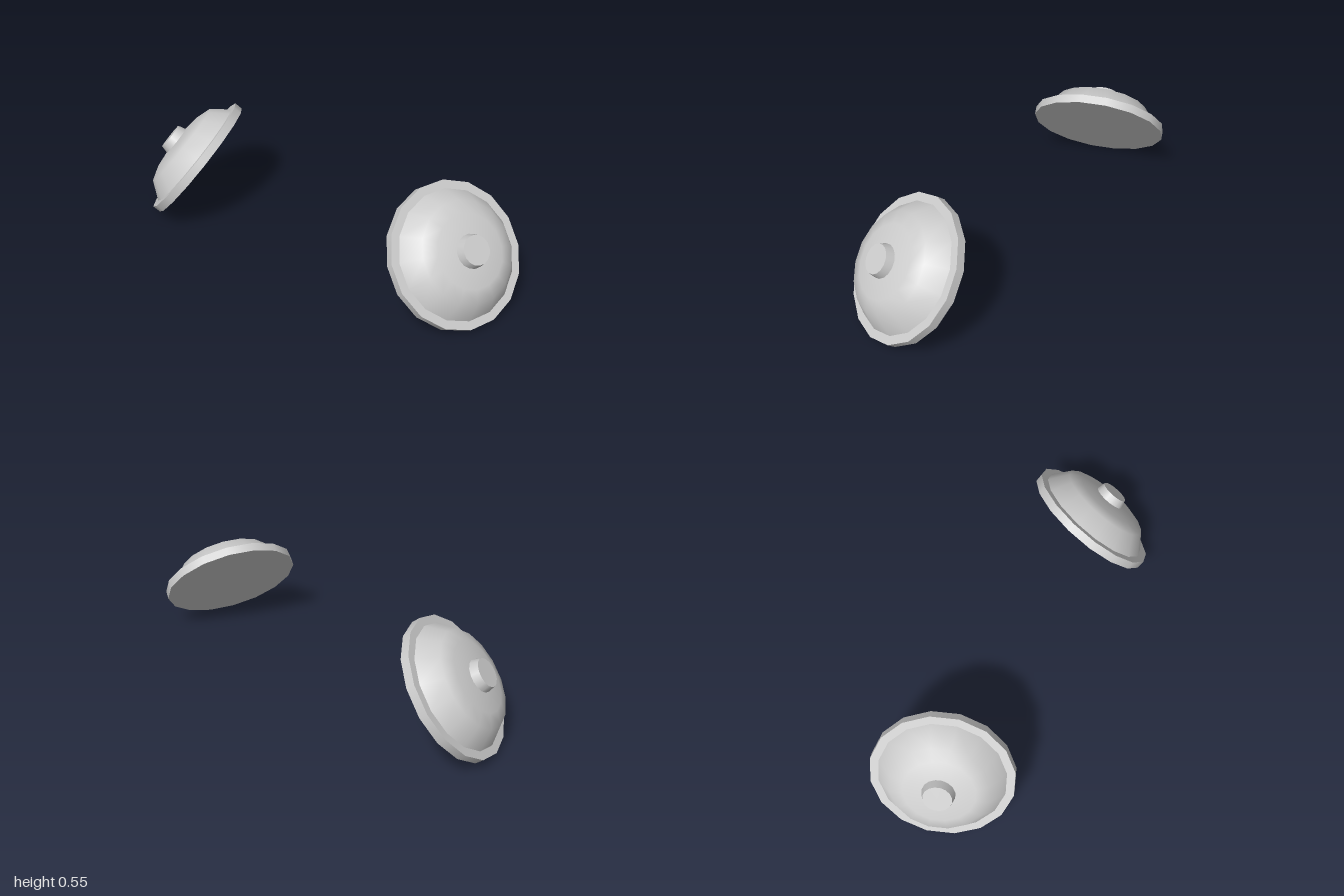
import * as THREE from 'three';

const SIDES = 16;
const RIM_RADIUS = 0.342;
const RIM_DEPTH = 0.042;

// One tilted disc: y is its axis, y = 0 is the outer face of the rim.
function createDisc(side) {
  const material = new THREE.MeshStandardMaterial({ color: 0xcccccc });
  const disc = new THREE.Group();
  const add = (name, geometry, y) => {
    const mesh = new THREE.Mesh(geometry.rotateY(Math.PI / SIDES), material);
    mesh.name = name;
    mesh.position.y = y;
    disc.add(mesh);
  };

  // Flat rim plate, closed at the back
  add('rim', new THREE.CylinderGeometry(RIM_RADIUS, RIM_RADIUS, RIM_DEPTH, SIDES), -RIM_DEPTH / 2);

  // Shallow smooth dome
  const profile = [[0.302, 0], [0.235, 0.086], [0.17, 0.107], [0.08, 0.118], [0, 0.121]]
    .map(([r, y]) => new THREE.Vector2(r, y));
  add('dome', new THREE.LatheGeometry(profile, SIDES), 0);

  // Slightly tapered centre knob
  add('knob', new THREE.CylinderGeometry(0.068, 0.081, 0.05, SIDES), 0.132);

  // Tilt outward, up and a little to the front
  const axis = new THREE.Vector3(side * 0.722, 0.623, 0.3).normalize();
  const upSlope = new THREE.Vector3(0, 1, 0).addScaledVector(axis, -axis.y).normalize();
  const across = new THREE.Vector3().crossVectors(axis, upSlope);
  disc.quaternion.setFromRotationMatrix(new THREE.Matrix4().makeBasis(across, axis, upSlope));
  disc.position.set(side * 0.766, 0.289, 0.007);
  disc.name = side > 0 ? 'leftDisc' : 'rightDisc';
  return disc;
}

export function createModel() {
  const model = new THREE.Group();
  model.name = 'discPair';
  for (const side of [1, -1]) model.add(createDisc(side));
  return model;
}
